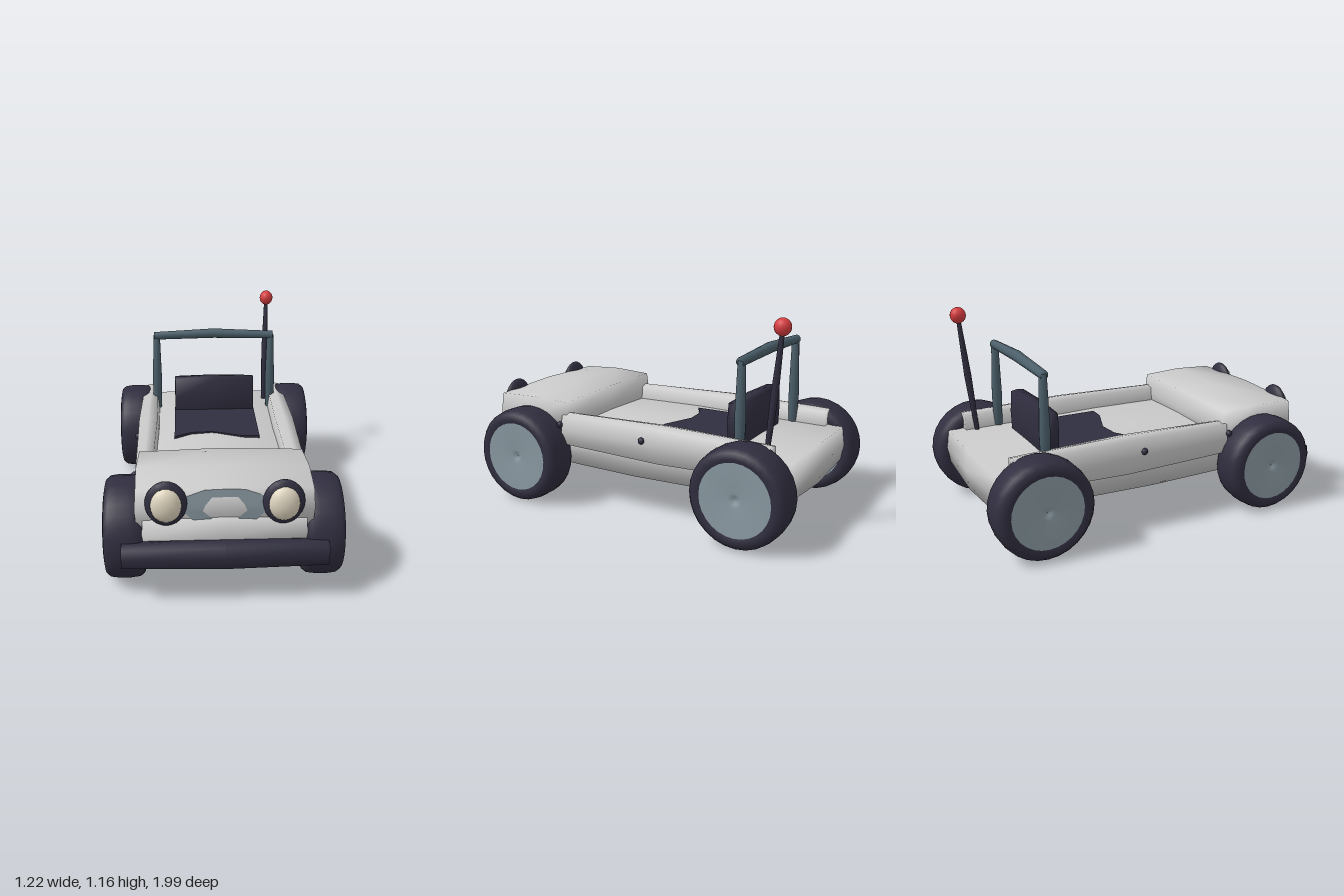
import * as THREE from 'three';
import { mergeVertices } from 'three/addons/utils/BufferGeometryUtils.js';

const mat = (name, color, extra = {}) => {
  const m = new THREE.MeshStandardMaterial({ color, ...extra });
  m.name = name;
  return m;
};

// Smooth low-poly box between two corners whose faces swell towards their middles
function softBox(min, max, bulge) {
  const lo = new THREE.Vector3(...min), hi = new THREE.Vector3(...max);
  const c = lo.clone().add(hi).multiplyScalar(0.5), h = hi.clone().sub(lo).multiplyScalar(0.5);
  let g = new THREE.BoxGeometry(2, 2, 2, 2, 2, 2);
  g.deleteAttribute('normal');
  g.deleteAttribute('uv');
  g = mergeVertices(g);
  const p = g.attributes.position;
  for (let i = 0; i < p.count; i++) {
    const n = [p.getX(i), p.getY(i), p.getZ(i)];
    const w = n.map(v => 1 - Math.abs(v));
    const sum = w[0] + w[1] + w[2];
    const q = n.map((v, k) => c.getComponent(k) + v * (h.getComponent(k) + bulge[k] * (sum - w[k]) / 2));
    p.setXYZ(i, ...q);
  }
  g.computeVertexNormals();
  return g;
}

// Tapered round rod: stations are [x, y, z, radius]
function rod(stations, axisU, axisV, sides = 10) {
  const pos = [], idx = [];
  for (const [x, y, z, r] of stations)
    for (let i = 0; i < sides; i++) {
      const a = i / sides * Math.PI * 2, cu = Math.cos(a) * r, cv = Math.sin(a) * r;
      pos.push(x + axisU[0] * cu + axisV[0] * cv, y + axisU[1] * cu + axisV[1] * cv, z + axisU[2] * cu + axisV[2] * cv);
    }
  for (let s = 0; s < stations.length - 1; s++)
    for (let i = 0; i < sides; i++) {
      const j = (i + 1) % sides, a = s * sides + i, b = s * sides + j;
      idx.push(a, b, b + sides, a, b + sides, a + sides);
    }
  const last = (stations.length - 1) * sides;
  for (let i = 1; i < sides - 1; i++) idx.push(0, i + 1, i, last, last + i, last + i + 1);
  const g = new THREE.BufferGeometry();
  g.setAttribute('position', new THREE.Float32BufferAttribute(pos, 3));
  g.setIndex(idx);
  g.computeVertexNormals();
  return g;
}

const lathe = pts => new THREE.LatheGeometry(pts.map(p => new THREE.Vector2(...p)), 28);

export function createModel() {
  const model = new THREE.Group();
  model.name = 'buggy';
  const body = mat('body grey', 0xcacaca);
  const dark = mat('dark rubber', 0x302e3f);
  const hub = mat('hub blue grey', 0x8a9aa2, { side: THREE.DoubleSide });
  const steel = mat('roll bar steel', 0x4b5f6a, { side: THREE.DoubleSide });
  const cream = mat('lamp cream', 0xe0d6c0);
  const red = mat('antenna red', 0xd63c3f);

  const add = (name, geo, material, parent = model) => {
    const m = new THREE.Mesh(geo, material);
    m.name = name;
    parent.add(m);
    return m;
  };
  const ball = (name, material, x, y, z, rx, ry = rx, rz = rx) => {
    const m = add(name, new THREE.SphereGeometry(1, 16, 12), material);
    m.position.set(x, y, z);
    m.scale.set(rx, ry, rz);
  };

  // Body shell
  add('chassis', softBox([-0.41, 0.23, -0.93], [0.41, 0.425, 0.88], [0.01, 0.03, 0.03]), body);
  add('hood', softBox([-0.44, 0.37, 0.415], [0.44, 0.585, 0.875], [0.015, 0.02, 0.02]), body);
  for (const s of [-1, 1]) {
    const [x0, x1] = s > 0 ? [0.37, 0.46] : [-0.46, -0.37];
    add('sidePod', softBox([x0, 0.345, -0.84], [x1, 0.51, 0.43], [0.02, 0.025, 0]), body);
  }

  // Painted ring on the nose, following the swell of the hood
  const outer = [[0, 0.592], [0.1, 0.588], [0.24, 0.535], [0.21, 0.4775], [0.1, 0.368], [0, 0.364]];
  const inner = [[0, 0.55], [0.065, 0.548], [0.095, 0.51], [0.11, 0.4775], [0.055, 0.425], [0, 0.4]];
  const noseZ = (x, y) => 0.879 + 0.01 * (2 - Math.abs(x) / 0.44 - Math.abs(y - 0.4775) / 0.1075);
  for (const s of [-1, 1]) {
    const pos = [], idx = [];
    outer.forEach((o, i) => {
      for (const [x, y] of [o, inner[i]]) pos.push(s * x, y, noseZ(x, y));
      if (i) {
        const k = 2 * i;
        if (s > 0) idx.push(k - 2, k - 1, k, k - 1, k + 1, k);
        else idx.push(k - 2, k, k - 1, k - 1, k, k + 1);
      }
    });
    const g = new THREE.BufferGeometry();
    g.setAttribute('position', new THREE.Float32BufferAttribute(pos, 3));
    g.setIndex(idx);
    g.computeVertexNormals();
    add('noseRing', g, hub);
  }

  // Bumper, headlights and side knobs
  add('bumper', softBox([-0.515, 0.207, 0.885], [0.515, 0.309, 0.977], [0, 0.016, 0.015]), dark);
  for (const s of [-1, 1]) {
    ball('lampHousing', dark, s * 0.29, 0.52, 0.89, 0.105, 0.12, 0.04);
    ball('lamp', cream, s * 0.29, 0.52, 0.905, 0.08, 0.093, 0.053);
    ball('sideKnob', dark, s * 0.475, 0.45, -0.11, 0.019);
    ball('frontKnob', dark, s * 0.468, 0.46, 0.44, 0.018);
  }

  // Seat: wavy-fronted cushion laid on the floor, and a backrest
  const cushion = new THREE.Shape([[-0.255, 0.07], [-0.155, 0.13], [-0.03, 0.14], [0.155, 0.07], [0.255, 0.065],
    [0.255, 0.56], [-0.255, 0.56]].map(p => new THREE.Vector2(...p)));
  const cushionGeo = new THREE.ExtrudeGeometry(cushion, { depth: 0.04, bevelEnabled: false });
  cushionGeo.rotateX(-Math.PI / 2);
  add('seatCushion', cushionGeo, dark).position.y = 0.42;
  add('seatBack', softBox([-0.25, 0.41, -0.595], [0.25, 0.662, -0.515], [0.003, 0.012, 0.01]), dark);

  // Roll bar
  for (const s of [-1, 1])
    add('rollBarLeg', rod([[s * 0.37, 0.41, -0.64, 0.025], [s * 0.368, 0.62, -0.64, 0.031], [s * 0.365, 0.925, -0.64, 0.021]],
      [0, 0, 1], [1, 0, 0]), steel);
  add('rollBarTop', rod([[-0.38, 0.92, -0.64, 0.025], [0, 0.934, -0.64, 0.031], [0.38, 0.92, -0.64, 0.025]],
    [0, 1, 0], [0, 0, 1]), steel);

  // Antenna
  add('antenna', rod([[0.343, 0.42, -0.778, 0.013], [0.348, 0.76, -0.815, 0.021], [0.355, 1.1, -0.85, 0.012]],
    [0, 0, 1], [1, 0, 0]), dark);
  ball('antennaBall', red, 0.355, 1.112, -0.85, 0.042, 0.046, 0.045);

  // Wheels: tyre and dimpled hub, spun around x
  const tyreGeo = lathe([[0.185, -0.092], [0.215, -0.104], [0.245, -0.098], [0.264, -0.075], [0.27, -0.03],
    [0.27, 0.03], [0.264, 0.075], [0.245, 0.098], [0.215, 0.104], [0.185, 0.092]]);
  const hubGeo = lathe([[0.001, 0.08], [0.02, 0.084], [0.04, 0.096], [0.198, 0.099]]);
  for (const s of [-1, 1])
    for (const z of [0.656, -0.726]) {
      const wheel = new THREE.Group();
      wheel.name = z > 0 ? 'frontWheel' : 'rearWheel';
      wheel.position.set(s * 0.508, 0.271, z);
      wheel.rotation.z = -s * Math.PI / 2;
      add('tyre', tyreGeo, dark, wheel);
      add('hubOuter', hubGeo, hub, wheel);
      add('hubInner', hubGeo, hub, wheel).rotation.x = Math.PI;
      model.add(wheel);
    }
  return model;
}
